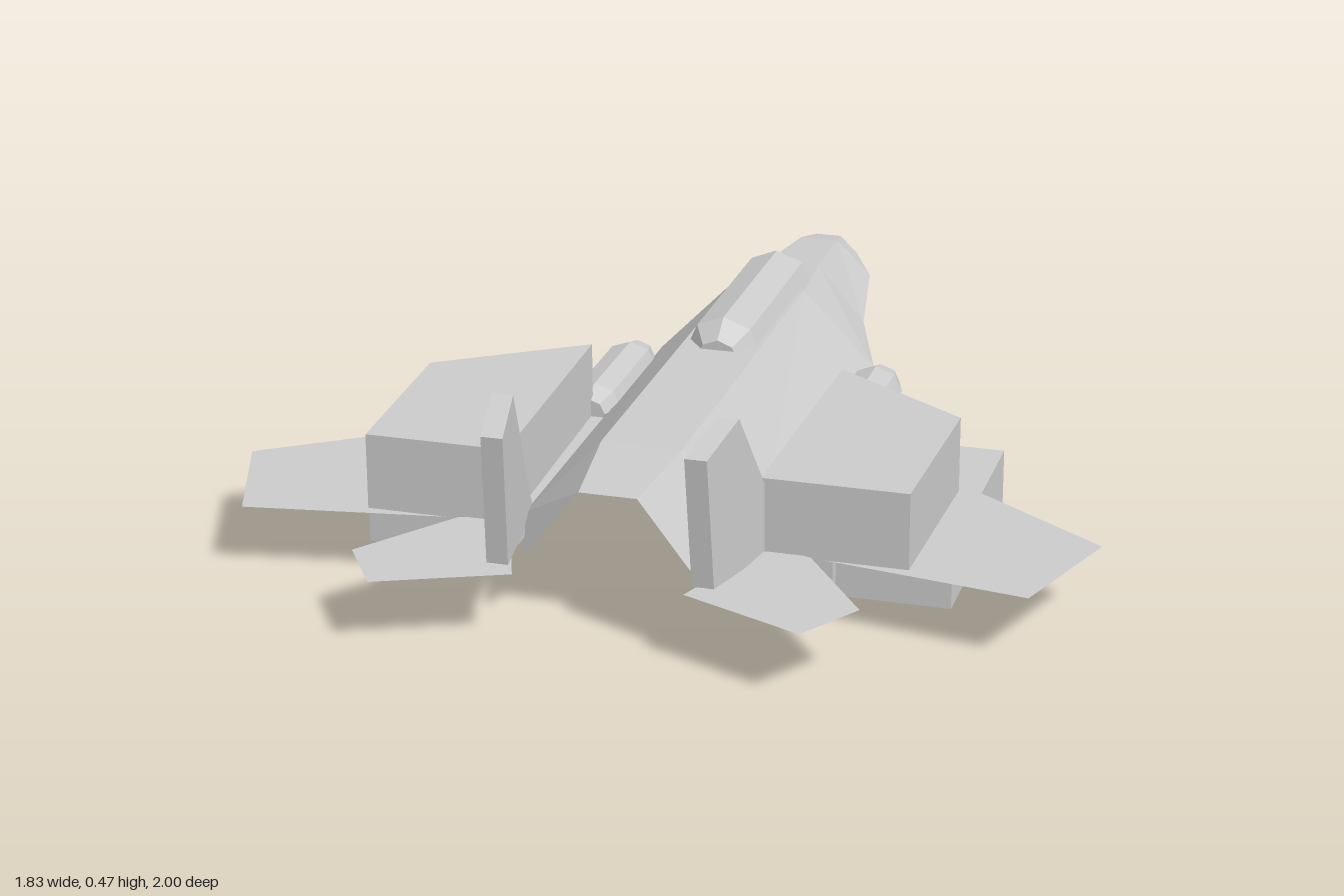
import * as THREE from 'three';

const material = new THREE.MeshStandardMaterial({ color: 0xcccccc, flatShading: true, side: THREE.DoubleSide });

function add(parent, name, geometry) {
  const mesh = new THREE.Mesh(geometry, material);
  mesh.name = name;
  parent.add(mesh);
  return mesh;
}

const outline = (points) => new THREE.Shape(points.map(([a, b]) => new THREE.Vector2(a, b)));

// Plan outline in (x, z), lying flat at height y
const sheet = (points, y) =>
  new THREE.ShapeGeometry(outline(points)).rotateX(Math.PI / 2).translate(0, y, 0);

// Plan outline in (x, z), filled from height y0 to y1
const slab = (points, y0, y1) =>
  new THREE.ExtrudeGeometry(outline(points), { depth: y1 - y0, bevelEnabled: false })
    .rotateX(Math.PI / 2).translate(0, y1, 0);

// Eight-sided capsule along z; profile holds [z, radius fraction]
function pod(profile, rx, ry) {
  const points = [[profile[0][0], 0], ...profile, [profile.at(-1)[0], 0]]
    .map(([z, r]) => new THREE.Vector2(r, z));
  return new THREE.LatheGeometry(points, 8).rotateX(Math.PI / 2).scale(rx, ry, 1);
}

// Open-bottomed hull: each section is [z, top half width, top y, edge half width, edge y]
function hull() {
  const sections = [
    [-1, 0.012, 0.236, 0.025, 0.225],
    [-0.97, 0.03, 0.25, 0.07, 0.212],
    [-0.88, 0.045, 0.27, 0.125, 0.19],
    [-0.63, 0.06, 0.295, 0.17, 0.165],
    [-0.4, 0.085, 0.315, 0.25, 0.145],
    [0.58, 0.085, 0.32, 0.25, 0.145],
    [0.81, 0.06, 0.305, 0.175, 0.155],
  ];
  const positions = [];
  const index = [];
  sections.forEach(([z, a, top, b, edge], i) => {
    positions.push(b, edge, z, a, top, z, -a, top, z, -b, edge, z);
    if (i === 0) return;
    for (let j = 0; j < 3; j++) {
      const p = (i - 1) * 4 + j;
      const q = p + 4;
      index.push(p, p + 1, q, p + 1, q + 1, q);
    }
  });
  // Blunt nose tip
  index.push(0, 2, 1, 0, 3, 2);
  const geometry = new THREE.BufferGeometry();
  geometry.setAttribute('position', new THREE.Float32BufferAttribute(positions, 3));
  geometry.setIndex(index);
  geometry.computeVertexNormals();
  return geometry;
}

// Upright fin from a (z, y) outline, toed in towards the tail
function fin() {
  const thickness = 0.045;
  const geometry = new THREE.ExtrudeGeometry(
    outline([[0.54, 0.13], [0.87, 0.16], [0.9, 0.44], [0.76, 0.475]]),
    { depth: thickness, bevelEnabled: false },
  ).rotateY(-Math.PI / 2).translate(thickness / 2, 0, 0);
  const p = geometry.attributes.position;
  for (let i = 0; i < p.count; i++) {
    p.setX(i, p.getX(i) + 0.23 - 0.18 * (p.getZ(i) - 0.76));
  }
  geometry.computeVertexNormals();
  return geometry;
}

function box(x0, x1, y0, y1, z0, z1) {
  return new THREE.BoxGeometry(x1 - x0, y1 - y0, z1 - z0)
    .translate((x0 + x1) / 2, (y0 + y1) / 2, (z0 + z1) / 2);
}

// Everything on one side; mirrored for the other
function buildSide(name, mirror) {
  const side = new THREE.Group();
  side.name = name;
  side.scale.x = mirror;

  add(side, 'wing', sheet([[0.25, -0.03], [0.915, 0.43], [0.82, 0.71], [0.43, 0.65], [0.25, 0.625]], 0.143));
  add(side, 'tailplane', sheet([[0.27, 0.62], [0.37, 0.65], [0.52, 0.86], [0.435, 0.995], [0.175, 0.885]], 0.148));
  add(side, 'upperWingBlock', slab([[0.28, 0.03], [0.58, 0.23], [0.568, 0.645], [0.265, 0.645]], 0.143, 0.306));
  add(side, 'lowerOuterBlock', box(0.385, 0.625, 0, 0.135, -0.025, 0.5));
  add(side, 'lowerInnerBlock', box(0.318, 0.378, 0, 0.135, -0.125, 0.5));
  add(side, 'tailFin', fin());

  const sidePod = add(side, 'sidePod',
    pod([[-0.34, 0.35], [-0.32, 0.7], [-0.265, 1], [0, 1], [0.045, 0.6]], 0.06, 0.052));
  sidePod.position.set(0.285, 0.151, 0);
  return side;
}

export function createModel() {
  const model = new THREE.Group();
  model.name = 'jetAircraft';

  add(model, 'fuselage', hull());
  const canopy = add(model, 'canopy',
    pod([[-0.575, 0.2], [-0.55, 0.55], [-0.48, 1], [-0.03, 1], [0.02, 0.55]], 0.084, 0.081));
  canopy.position.y = 0.295;

  model.add(buildSide('leftSide', 1), buildSide('rightSide', -1));
  return model;
}
